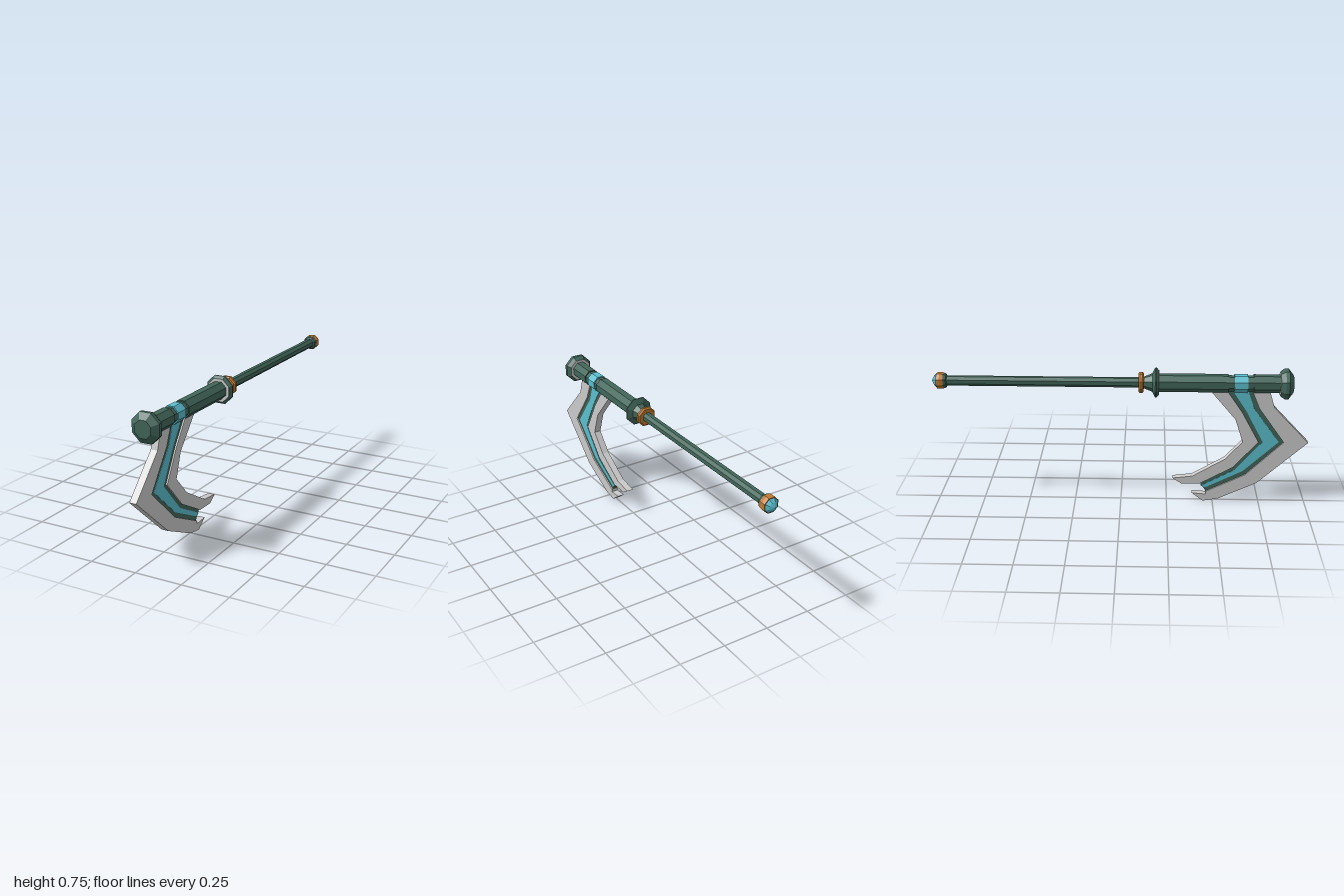
import * as THREE from 'three';

const AXIS_Y = 0.676;
const material = (color) => new THREE.MeshStandardMaterial({ color, flatShading: true });

export function createModel() {
  const model = new THREE.Group();
  const green = material(0x41665a);
  const teal = material(0x5cc0d0);
  const orange = material(0xc07a30);
  const grey = material(0xcccccc);

  const add = (name, geometry, mat) => {
    const mesh = new THREE.Mesh(geometry, mat);
    mesh.name = name;
    model.add(mesh);
  };

  // Octagonal turned part along z; profile is [half width across flats, z], z ascending
  const turned = (name, profile, mat) => {
    const k = 1 / Math.cos(Math.PI / 8);
    const points = profile.map(([r, z]) => new THREE.Vector2(r * k, z));
    const geometry = new THREE.LatheGeometry(points, 8, Math.PI / 8);
    geometry.rotateX(Math.PI / 2).translate(0, AXIS_Y, 0);
    add(name, geometry, mat);
  };

  // Flat plate cut from a [z, y] outline, centred on x = 0
  const plate = (name, outline, halfWidth, mat) => {
    const shape = new THREE.Shape(outline.map(([z, y]) => new THREE.Vector2(z, y)));
    const geometry = new THREE.ExtrudeGeometry(shape, { depth: halfWidth * 2, bevelEnabled: false });
    geometry.translate(0, 0, -halfWidth).rotateY(-Math.PI / 2);
    add(name, geometry, mat);
  };

  // Head cap
  turned('headCap', [[0.06, 0.835], [0.075, 0.858], [0.075, 0.877], [0.044, 0.902], [0, 0.902]], green);
  turned('headCapRing', [[0.04, 0.834], [0.06, 0.834], [0.06, 0.836]], grey);

  // Thick upper shaft with a recess for the band
  turned('upperShaft', [[0.045, 0.19], [0.045, 0.563], [0.039, 0.563], [0.039, 0.695],
    [0.045, 0.695], [0.045, 0.84]], green);
  turned('shaftBand', [[0.038, 0.594], [0.045, 0.594], [0.045, 0.664], [0.038, 0.664]], teal);

  // Flared guard
  turned('guard', [[0.024, 0.115], [0.03, 0.125], [0.045, 0.165], [0.073, 0.18], [0.073, 0.186], [0.06, 0.2]], green);
  turned('guardRing', [[0.06, 0.199], [0.06, 0.201], [0.04, 0.201]], grey);
  turned('collar', [[0.02, 0.092], [0.044, 0.092], [0.051, 0.1], [0.051, 0.112], [0.044, 0.12], [0.02, 0.12]], orange);

  // Slim handle and pommel
  turned('handle', [[0.025, -0.94], [0.025, 0.12]], green);
  turned('pommelBase', [[0.025, -0.945], [0.039, -0.938], [0.034, -0.922], [0.024, -0.918]], green);
  turned('pommelRing', [[0.03, -0.974], [0.039, -0.972], [0.041, -0.955], [0.039, -0.936], [0.03, -0.936]], orange);
  turned('pommelGem', [[0, -1], [0.022, -0.988], [0.036, -0.973], [0, -0.973]], teal);

  // Blade: two steel edges around a sunken inlay
  const inlayOuter = [[0.69, 0.66], [0.694, 0.63], [0.731, 0.543], [0.87, 0.35], [0.672, 0.158], [0.463, 0.056]];
  const inlayInner = [[0.565, 0.66], [0.565, 0.63], [0.642, 0.52], [0.736, 0.35], [0.603, 0.2], [0.431, 0.104]];
  plate('outerBlade', [[0.77, 0.66], [0.785, 0.63], [0.811, 0.548], [1, 0.35], [0.736, 0.11], [0.528, 0.013],
    [0.447, 0], [0.388, 0.046], [0.463, 0.04], ...inlayOuter.slice().reverse()], 0.019, grey);
  plate('innerBlade', [...inlayInner, [0.41, 0.104], [0.329, 0.102], [0.281, 0.134], [0.388, 0.147],
    [0.56, 0.249], [0.651, 0.35], [0.608, 0.479], [0.479, 0.63], [0.46, 0.66]], 0.019, grey);
  plate('bladeInlay', [...inlayOuter, ...inlayInner.slice().reverse()], 0.011, green);
  plate('bladeStripe', [[0.668, 0.66], [0.672, 0.63], [0.706, 0.537], [0.844, 0.35], [0.66, 0.178], [0.46, 0.078],
    [0.435, 0.088], [0.615, 0.184], [0.758, 0.35], [0.664, 0.525], [0.593, 0.63], [0.593, 0.66]], 0.013, teal);

  return model;
}
